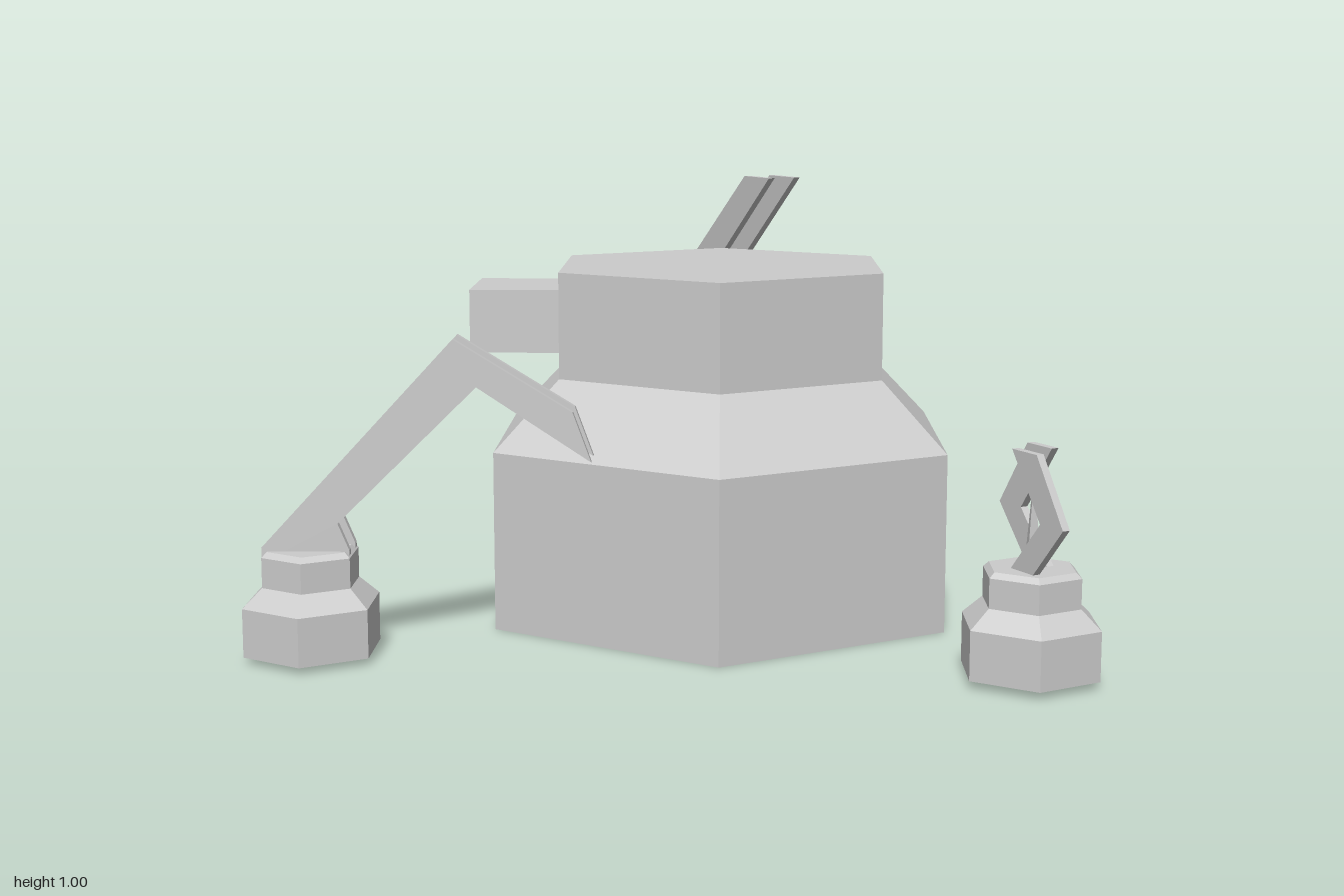
import * as THREE from 'three';

const grey = new THREE.MeshStandardMaterial({ color: 0xcccccc, flatShading: true, side: THREE.DoubleSide });

function mesh(name, geometry, parent) {
  const m = new THREE.Mesh(geometry, grey);
  m.name = name;
  parent.add(m);
  return m;
}

const points = (list) => list.map(([x, y]) => new THREE.Vector2(x, y));

// Six-sided solid from [radius, height] pairs, bottom to top
const hexTower = (profile) => new THREE.LatheGeometry(points(profile), 6);

// Thin upright plate cut from an outline, centred on local z
function plate(outline, z, thickness = 0.018) {
  const g = new THREE.ExtrudeGeometry(new THREE.Shape(points(outline)), { depth: thickness, bevelEnabled: false });
  return g.translate(0, 0, z - thickness / 2);
}

// Small hexagonal pod; its arm plane is turned by angle about y
function pod(name, x, z, bottom, angle, parent) {
  const g = new THREE.Group();
  g.name = name;
  g.position.set(x, 0, z);
  parent.add(g);
  mesh('podBase', hexTower([
    [0, bottom], [0.16, bottom], [0.16, bottom + 0.11], [0.113, bottom + 0.152],
    [0.113, 0.235], [0.1, 0.247], [0, 0.247],
  ]), g);
  const arm = new THREE.Group();
  arm.name = 'arm';
  arm.rotation.y = angle;
  g.add(arm);
  return arm;
}

export function createModel() {
  const root = new THREE.Group();
  root.name = 'hexagonalStation';

  // Main building with sloping shoulder
  const body = mesh('mainBody', hexTower([
    [0, 0], [0.605, 0], [0.605, 0.42], [0.435, 0.58], [0.435, 0.83], [0, 0.83],
  ]), root);
  body.position.set(0.12, 0, 0.165);

  // Open rectangular duct on the side
  const rect = (w, h) => points([[-w, -h], [w, -h], [w, h], [-w, h]]);
  const ductShape = new THREE.Shape(rect(0.1325, 0.075));
  ductShape.holes.push(new THREE.Path(rect(0.11, 0.053)));
  const duct = mesh('sideDuct',
    new THREE.ExtrudeGeometry(ductShape, { depth: 0.225, bevelEnabled: false }), root);
  duct.rotation.y = Math.PI / 2;
  duct.position.set(-0.475, 0.705, 0.1625);

  // Arm reaching over in front of the body
  const reaching = pod('frontRightPod', -0.79, 0.69, 0.015, 0, root);
  const reachOutline = [
    [-0.1, 0.22], [0.095, 0.22], [0.095, 0.25], [0.07, 0.31], [0.38, 0.615],
    [0.63, 0.45], [0.59, 0.56], [0.33, 0.72], [-0.1, 0.255],
  ];
  for (const z of [-0.042, 0.034]) mesh('armPlate', plate(reachOutline, z), reaching);

  // Tall bent arm behind the body
  const tall = pod('backPod', 0.13, -0.78, 0.01, -Math.PI / 3, root);
  const tallOutline = [
    [-0.065, 0.23], [0.07, 0.23], [-0.08, 0.65], [0.32, 1], [0.19, 1], [-0.23, 0.65],
  ];
  for (const z of [-0.04, 0.04]) mesh('armPlate', plate(tallOutline, z), tall);

  // Short claw: two opposed fingers and a spike between them
  const claw = pod('frontLeftPod', 0.79, 0.835, 0.017, -Math.PI / 3, root);
  const finger = [
    [-0.02, 0.24], [0.055, 0.24], [0.155, 0.36], [0.063, 0.505], [-0.02, 0.505], [0.08, 0.36],
  ];
  for (const side of [1, -1]) {
    const f = mesh('clawFinger', plate(finger, 0.037), claw);
    f.rotation.y = side > 0 ? 0 : Math.PI;
  }
  const spike = mesh('clawSpike', new THREE.ConeGeometry(0.028, 0.23, 4), claw);
  spike.scale.z = 0.5;
  spike.position.y = 0.355;

  return root;
}
